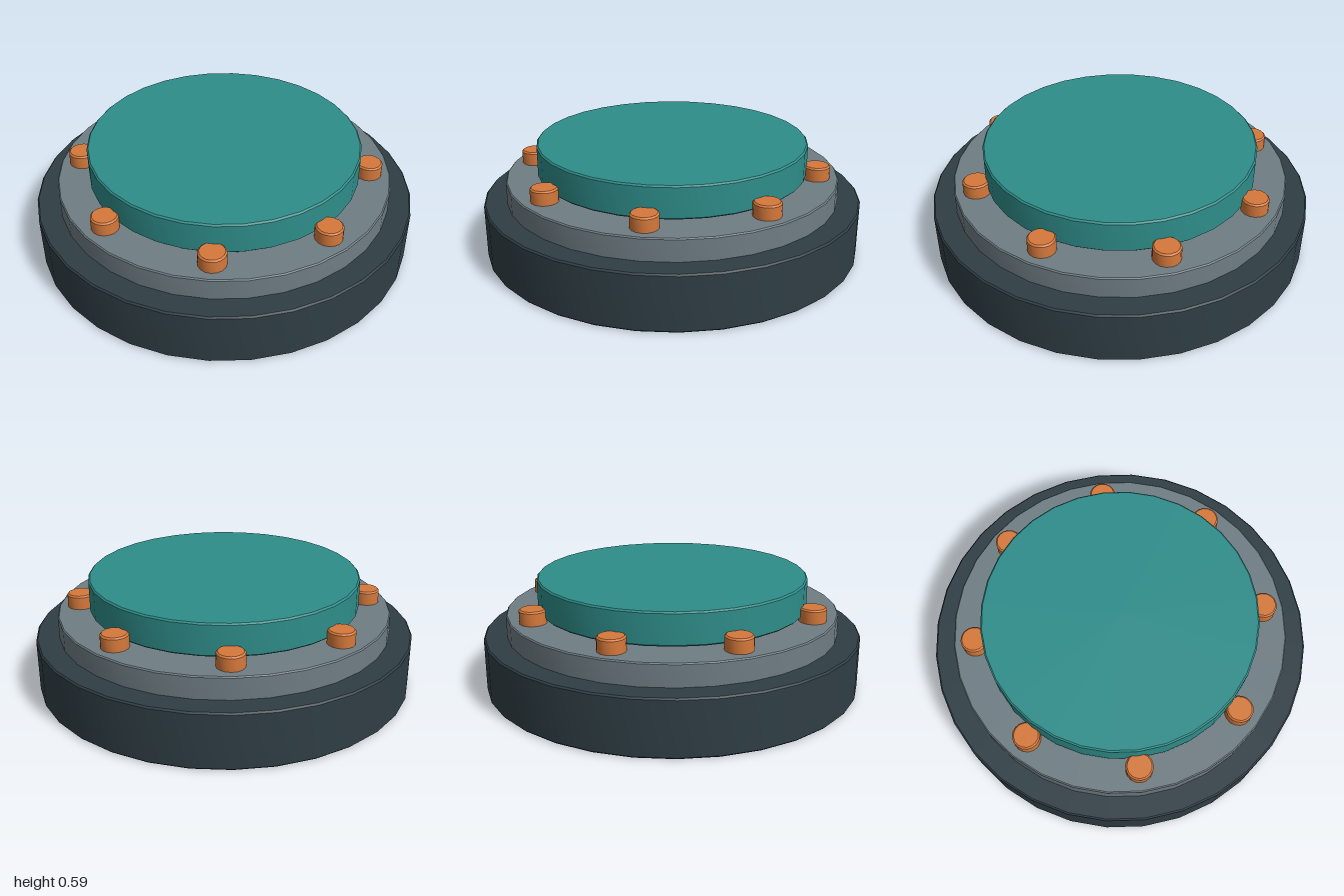
import * as THREE from 'three';
import { toCreasedNormals } from 'three/addons/utils/BufferGeometryUtils.js';

const mat = (name, color) => {
  const m = new THREE.MeshStandardMaterial({ color });
  m.name = name;
  return m;
};

// Solid disc from y0 to y1 with small chamfered rims
function disc(name, radius, y0, y1, segments, bevel, material) {
  const profile = [
    [0, y0], [radius - bevel, y0], [radius, y0 + bevel],
    [radius, y1 - bevel], [radius - bevel, y1], [0, y1],
  ].map(([x, y]) => new THREE.Vector2(x, y));
  const geometry = toCreasedNormals(new THREE.LatheGeometry(profile, segments), 0.5);
  const mesh = new THREE.Mesh(geometry, material);
  mesh.name = name;
  return mesh;
}

export function createModel() {
  const model = new THREE.Group();
  model.name = 'boltedHatch';
  const dark = mat('dark slate', 0x2f3e45);
  const grey = mat('steel grey', 0x6f7d84);
  const teal = mat('teal', 0x2e8d8a);
  const orange = mat('copper orange', 0xd6793b);

  // Stacked discs; the lid floats just above the flange
  model.add(disc('base', 1, 0, 0.29, 32, 0.008, dark));
  model.add(disc('flange', 0.88, 0.28, 0.405, 32, 0.006, grey));
  model.add(disc('lid', 0.713, 0.42, 0.587, 32, 0.008, teal));

  // Ring of eight bolts around the lid
  const bolts = new THREE.Group();
  bolts.name = 'bolts';
  for (let i = 0; i < 8; i++) {
    const a = (i / 8) * Math.PI * 2;
    const bolt = disc('bolt', 0.07, 0.395, 0.478, 16, 0.008, orange);
    bolt.position.set(Math.sin(a) * 0.763, 0, Math.cos(a) * 0.763);
    bolts.add(bolt);
  }
  model.add(bolts);
  return model;
}
